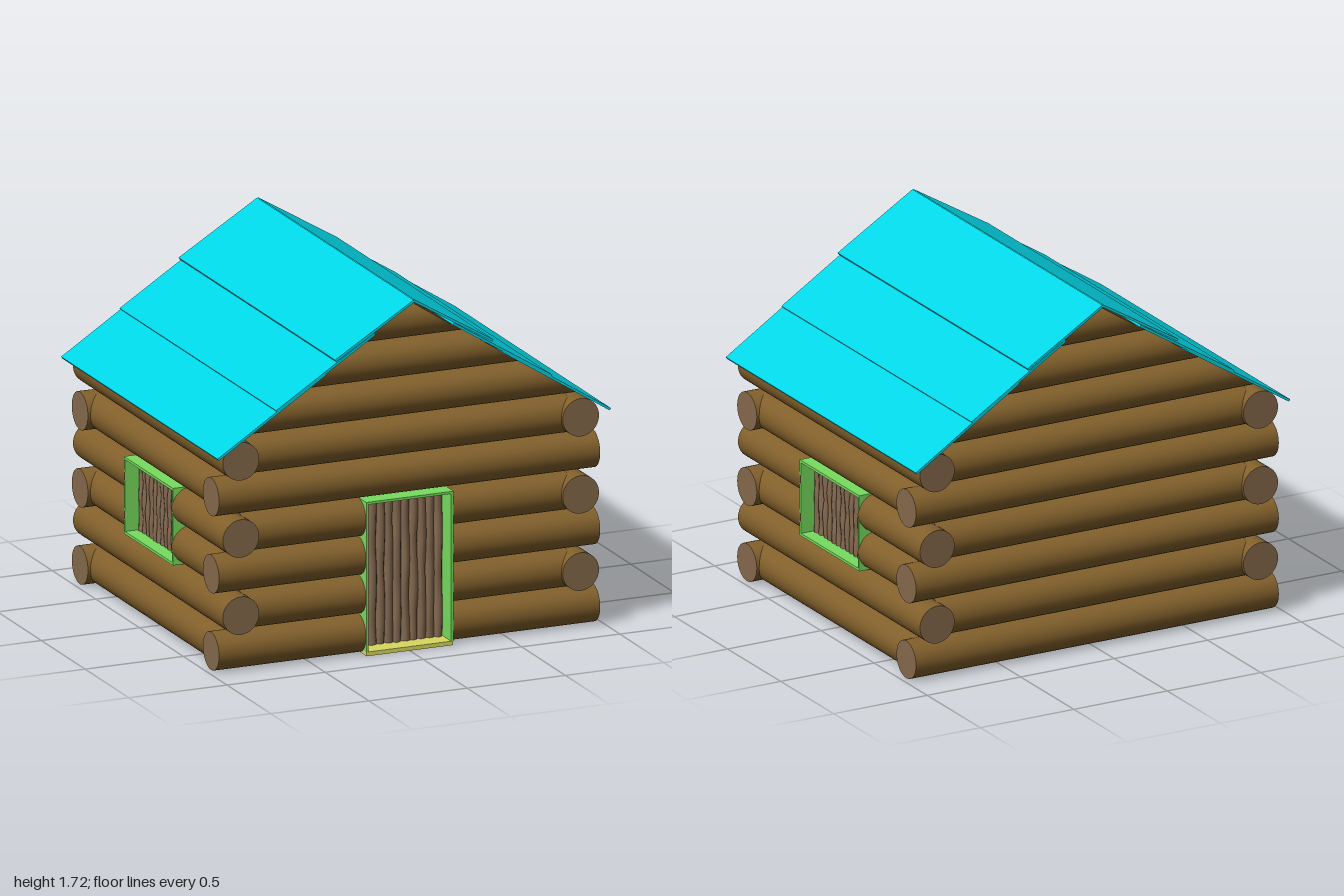
import * as THREE from 'three';

const mat = (name, color) => {
  const m = new THREE.MeshStandardMaterial({ color });
  m.name = name;
  return m;
};

export function createModel() {
  const bark = mat('bark', 0x82602b);
  const cutWood = mat('cutWood', 0x85694b);
  const roofBlue = mat('roofBlue', 0x00d6e6);
  const green = mat('frameGreen', 0x78dc5e);
  const floorYellow = mat('floorYellow', 0xd8d85f);
  const stick = mat('stick', 0x856a50);

  const R = 0.0925, PITCH = 0.1875, WX = 0.865, WZ = 0.75;
  const rowY = (i) => R + i * PITCH;
  const root = new THREE.Group();
  root.name = 'logCabin';

  const group = (name) => {
    const g = new THREE.Group();
    g.name = name;
    root.add(g);
    return g;
  };
  const add = (parent, name, geometry, material, x = 0, y = 0, z = 0) => {
    const m = new THREE.Mesh(geometry, material);
    m.name = name;
    m.position.set(x, y, z);
    parent.add(m);
    return m;
  };
  const box = (parent, name, material, w, h, d, x, y, z) =>
    add(parent, name, new THREE.BoxGeometry(w, h, d), material, x, y, z);

  // A log lying along x or z between two positions on that axis
  const log = (parent, name, axis, from, to, offset, y) => {
    const g = new THREE.CylinderGeometry(R, R, to - from, 32);
    if (axis === 'x') g.rotateZ(-Math.PI / 2);
    else g.rotateX(Math.PI / 2);
    const mid = (from + to) / 2;
    add(parent, name, g, [bark, cutWood, cutWood],
      axis === 'x' ? mid : offset, y, axis === 'x' ? offset : mid);
  };
  // A wall log, split in two where an opening passes through it
  const wallLog = (parent, name, axis, half, offset, y, gap) => {
    if (!gap) return log(parent, name, axis, -half, half, offset, y);
    log(parent, name, axis, -half, -gap, offset, y);
    log(parent, name, axis, gap, half, offset, y);
  };

  // Walls: rows alternate which pair of logs runs past the corners
  const walls = group('walls');
  for (let i = 0; i < 6; i++) {
    const even = i % 2 === 0, y = rowY(i);
    wallLog(walls, 'frontLog', 'x', even ? 0.97 : 0.83, WZ, y, i < 4 ? 0.212 : 0);
    wallLog(walls, 'backLog', 'x', even ? 0.97 : 0.83, -WZ, y, 0);
    for (const s of [1, -1]) {
      wallLog(walls, 'sideLog', 'z', even ? 0.72 : 0.857, s * WX, y, i === 2 || i === 3 ? 0.27 : 0);
    }
  }

  // Gables: logs whose ends are cut to the roof slope
  const gables = group('gables');
  for (let i = 6; i < 9; i++) {
    const g = new THREE.CylinderGeometry(0.0905, 0.0905, 2, 32);
    g.rotateZ(-Math.PI / 2);
    const p = g.attributes.position;
    for (let k = 0; k < p.count; k++) {
      const half = (1.697 - rowY(i) - p.getY(k)) * 1.56;
      p.setX(k, Math.sign(p.getX(k)) * half);
    }
    for (const s of [1, -1]) add(gables, 'gableLog', g, bark, 0, rowY(i), s * WZ);
  }

  // Roof: three overlapping boards on each slope
  const roof = group('roof');
  const boards = [[0, 1.714, 0.4, 1.472], [0.2, 1.578, 0.7, 1.263], [0.45, 1.414, 0.998, 1.064]];
  for (const s of [1, -1]) {
    for (const [x0, y0, x1, y1] of boards) {
      const b = box(roof, 'roofBoard', roofBlue, Math.hypot(x1 - x0, y1 - y0), 0.012, 1.79,
        s * (x0 + x1) / 2, (y0 + y1) / 2, 0);
      b.rotation.z = s * Math.atan2(y1 - y0, x1 - x0);
    }
  }

  // Floor with a threshold reaching through the doorway
  const floor = group('floor');
  box(floor, 'floorSlab', floorYellow, 1.72, 0.02, 1.49, 0, 0.01, 0);
  box(floor, 'threshold', floorYellow, 0.44, 0.02, 0.1, 0, 0.01, 0.795);

  // A row of slightly crooked upright sticks, facing +z
  const sticks = (parent, count, width, y0, y1, seed) => {
    const step = width / count;
    for (let i = 0; i < count; i++) {
      const x = -width / 2 + step * (i + 0.5);
      const pts = [];
      for (let k = 0; k <= 6; k++) {
        const wob = Math.sin(i * 2.7 + k * 1.9 + seed) * 0.003;
        pts.push(new THREE.Vector3(x + wob, y0 + (y1 - y0) * k / 6, Math.cos(i * 1.3 + k * 2.1) * 0.003));
      }
      add(parent, 'stick', new THREE.TubeGeometry(new THREE.CatmullRomCurve3(pts), 18, step * 0.55, 10), stick);
    }
  };
  // A thin open frame around an opening, facing +z
  const frame = (parent, w, y0, y1, depth, t, sill) => {
    const h = y1 - y0;
    for (const s of [1, -1]) box(parent, 'jamb', green, t, h, depth, s * (w - t) / 2, y0 + h / 2, 0);
    box(parent, 'lintel', green, w - 2 * t, t, depth, 0, y1 - t / 2, 0);
    if (sill) box(parent, 'sill', green, w - 2 * t, t, depth, 0, y0 + t / 2, 0);
  };

  // Door
  const door = group('door');
  door.position.z = WZ;
  frame(door, 0.444, 0.02, 0.748, 0.19, 0.012, false);
  const doorPanel = new THREE.Group();
  doorPanel.name = 'doorPanel';
  doorPanel.position.z = -0.015;
  door.add(doorPanel);
  sticks(doorPanel, 10, 0.42, 0.02, 0.735, 0);

  // Shuttered windows on both sides
  for (const s of [1, -1]) {
    const win = group(s > 0 ? 'leftWindow' : 'rightWindow');
    win.position.x = s * WX;
    win.rotation.y = s * Math.PI / 2;
    frame(win, 0.56, 0.375, 0.75, 0.18, 0.013, true);
    const shutter = new THREE.Group();
    shutter.name = 'shutter';
    shutter.position.z = 0.005;
    win.add(shutter);
    sticks(shutter, 13, 0.534, 0.388, 0.737, 2);
  }

  // Small stool inside
  const stool = group('stool');
  box(stool, 'stoolSeat', roofBlue, 0.2, 0.02, 0.2, 0, 0.19, 0);
  box(stool, 'stoolPost', roofBlue, 0.03, 0.42, 0.03, 0.015, 0.23, 0);

  return root;
}
